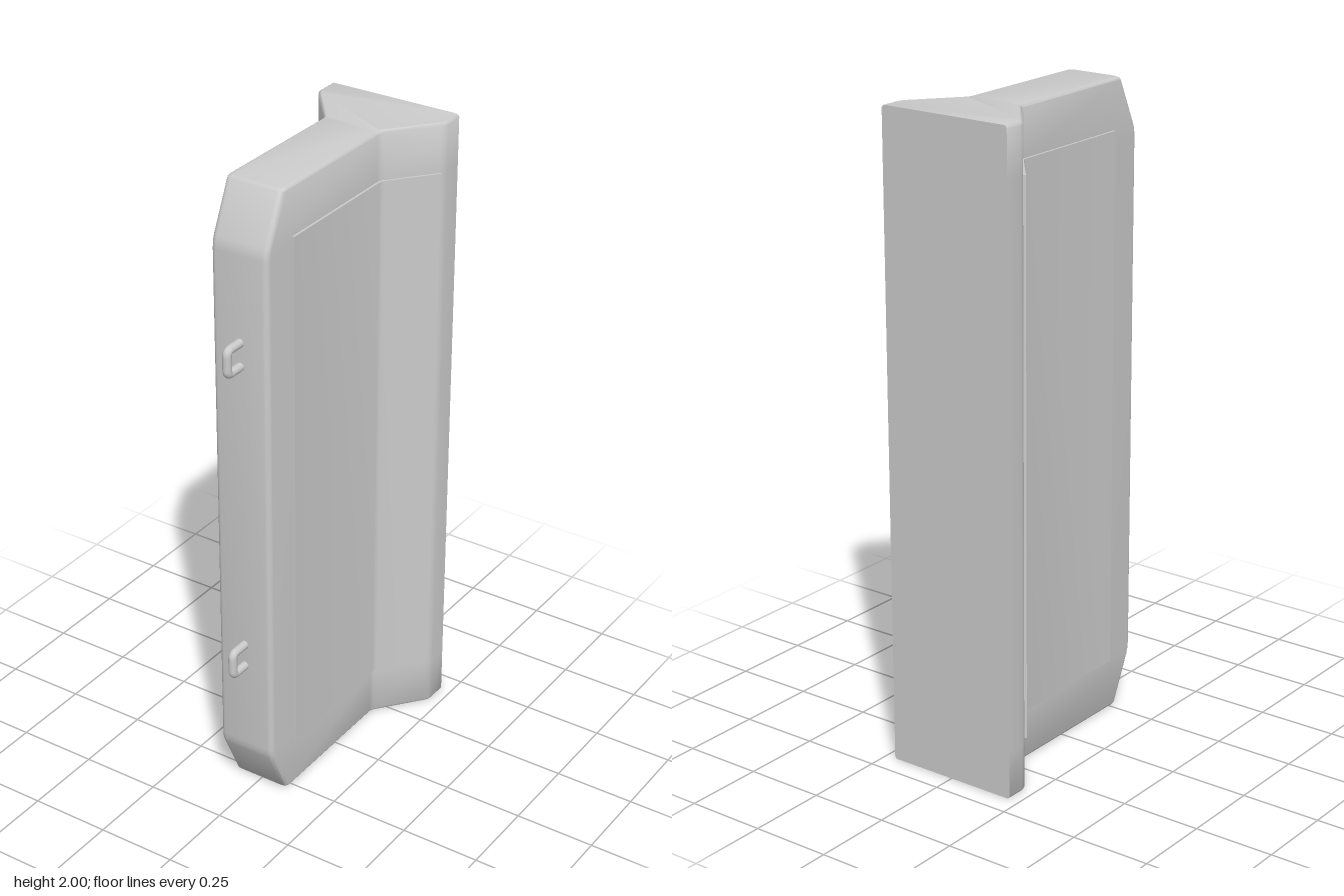
import * as THREE from 'three';
import { toCreasedNormals } from 'three/addons/utils/BufferGeometryUtils.js';

const material = new THREE.MeshStandardMaterial({ color: 0xcccccc });

// Horizontal outline [x, z]: front z, and an inset of the side walls.
function section(front, inset) {
  const w = 0.094, r = 0.018, half = [];
  for (let i = 0; i <= 4; i++) {
    const a = (1 - i / 4) * Math.PI / 2;
    half.push([w - r + r * Math.cos(a), front - r + r * Math.sin(a)]);
  }
  half.push([w, -0.192], [0.0955, -0.203], [0.1, -0.212],
    [0.207, -0.345], [0.214, -0.356], [0.217, -0.369], [0.217, -0.43]);
  const right = half.map(([x, z]) => [x - inset, z]);
  return [...right, ...right.slice().reverse().map(([x, z]) => [-x, z])];
}

function bodyGeometry() {
  // [height, front z, inset]: softened ends and the sloping front corner
  const lower = [[0, 0.270, 0.008], [0.003, 0.276, 0.003], [0.008, 0.281, 0],
    [0.15, 0.347, 0], [0.168, 0.353, 0], [0.188, 0.355, 0]];
  const levels = [...lower, ...lower.slice().reverse().map(([y, f, d]) => [2 - y, f, d])];
  const loops = levels.map(([, f, d]) => section(f, d));
  const n = loops[0].length, pos = [], index = [];
  loops.forEach((loop, k) => loop.forEach(([x, z]) => pos.push(x, levels[k][0], z)));
  for (let k = 0; k < loops.length - 1; k++) {
    for (let i = 0; i < n; i++) {
      const a = k * n + i, b = k * n + (i + 1) % n;
      index.push(a, b, b + n, a, b + n, a + n);
    }
  }
  // End caps
  const contour = loops[0].map(([x, z]) => new THREE.Vector2(x, -z));
  const top = (loops.length - 1) * n;
  for (const [a, b, c] of THREE.ShapeUtils.triangulateShape(contour, [])) {
    index.push(top + a, top + b, top + c, c, b, a);
  }
  const g = new THREE.BufferGeometry();
  g.setAttribute('position', new THREE.Float32BufferAttribute(pos, 3));
  g.setIndex(index);
  return toCreasedNormals(g, 0.55);
}

// Thin bent plate covering a side wall and the flared wall behind it
function panelGeometry(side) {
  const outer = [[0.101, 0.235], [0.101, -0.195], [0.103, -0.204], [0.107, -0.211], [0.2145, -0.343]];
  const inner = [[0.207, -0.349], [0.098, -0.215], [0.09, -0.2], [0.09, 0.235]];
  const shape = new THREE.Shape([...outer, ...inner].map(([x, z]) => new THREE.Vector2(side * x, -z)));
  const g = new THREE.ExtrudeGeometry(shape, { depth: 1.685, bevelEnabled: false });
  g.rotateX(-Math.PI / 2);
  g.translate(0, 0.1625, 0);
  return toCreasedNormals(g, 0.5);
}

// U-shaped pull loop, its legs sunk into the front face
function handleGeometry() {
  const h = 0.037, z = 0.416, r = 0.016;
  const v = (y, zz) => new THREE.Vector3(0, y, zz);
  const path = new THREE.CurvePath();
  path.add(new THREE.LineCurve3(v(-h, 0.34), v(-h, z - r)));
  path.add(new THREE.QuadraticBezierCurve3(v(-h, z - r), v(-h, z), v(-h + r, z)));
  path.add(new THREE.LineCurve3(v(-h + r, z), v(h - r, z)));
  path.add(new THREE.QuadraticBezierCurve3(v(h - r, z), v(h, z), v(h, z - r)));
  path.add(new THREE.LineCurve3(v(h, z - r), v(h, 0.34)));
  return new THREE.TubeGeometry(path, 48, 0.0135, 14, false);
}

export function createModel() {
  const group = new THREE.Group();
  const add = (name, geometry, y = 0) => {
    const mesh = new THREE.Mesh(geometry, material);
    mesh.name = name;
    mesh.position.y = y;
    group.add(mesh);
  };
  add('body', bodyGeometry());
  add('leftPanel', panelGeometry(1));
  add('rightPanel', panelGeometry(-1));
  const handle = handleGeometry();
  add('lowerHandle', handle, 0.505);
  add('upperHandle', handle, 1.51);
  return group;
}
